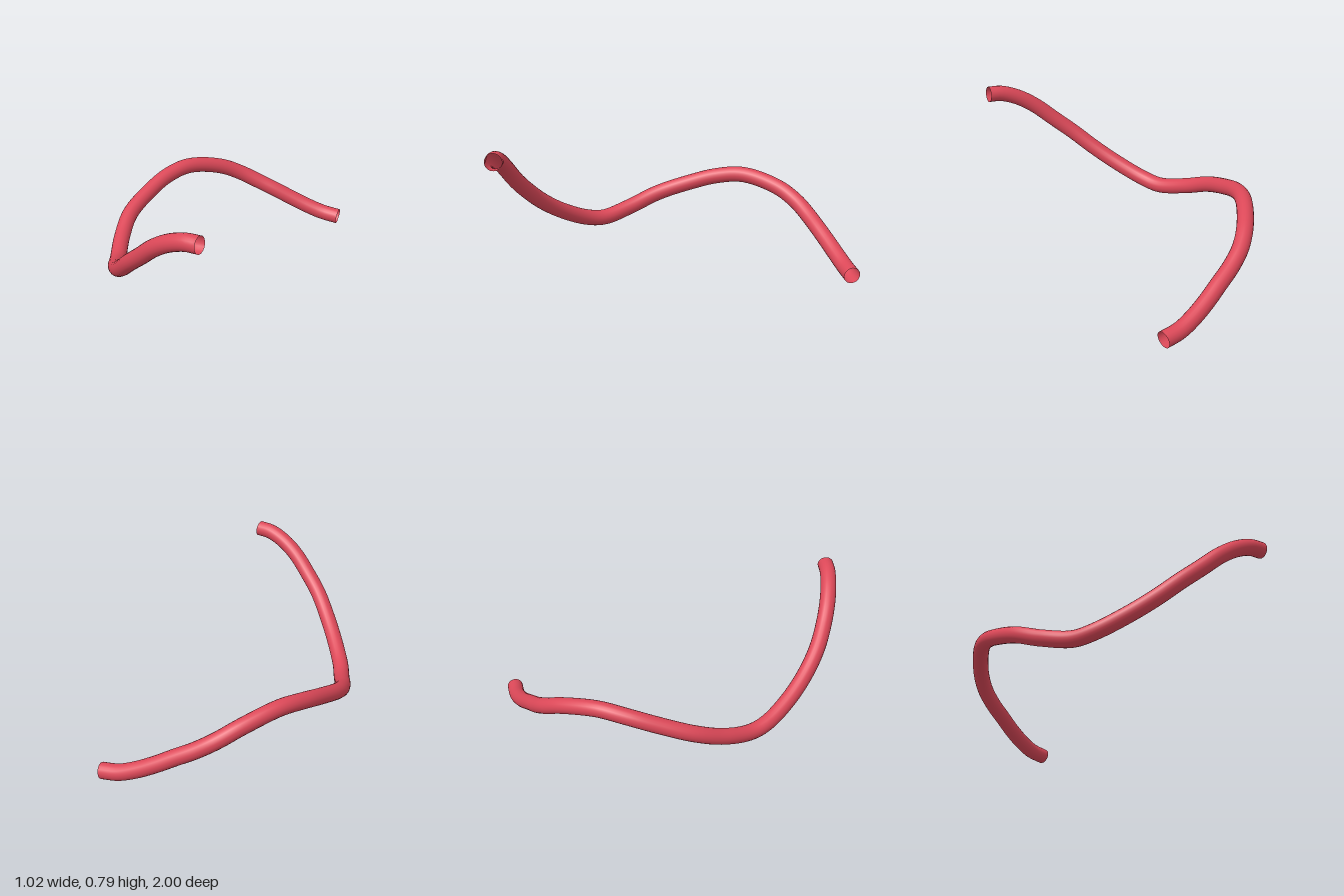
import * as THREE from 'three';

export function createModel() {
  const group = new THREE.Group();

  // Centre line of the bent tube, from the raised front end to the low back end
  const path = new THREE.CatmullRomCurve3([
    [0.48, 0.745, 0.953], [0.4, 0.738, 0.945], [0.3, 0.70, 0.925],
    [0.2, 0.635, 0.895], [0.1, 0.545, 0.85], [0, 0.455, 0.79],
    [-0.1, 0.355, 0.70], [-0.2, 0.265, 0.585], [-0.3, 0.19, 0.44],
    [-0.35, 0.172, 0.335], [-0.42, 0.213, 0.17], [-0.46, 0.28, 0],
    [-0.44, 0.347, -0.2], [-0.4, 0.393, -0.36], [-0.33, 0.412, -0.51],
    [-0.2, 0.364, -0.69], [-0.1, 0.303, -0.78], [0, 0.245, -0.83],
    [0.1, 0.195, -0.865], [0.2, 0.143, -0.898], [0.3, 0.097, -0.925],
    [0.4, 0.063, -0.945], [0.503, 0.05, -0.954],
  ].map((p) => new THREE.Vector3(...p)));

  // Open-ended hose, visible from inside as well
  const hose = new THREE.Mesh(
    new THREE.TubeGeometry(path, 120, 0.046, 20, false),
    new THREE.MeshStandardMaterial({ color: 0xdc4858, side: THREE.DoubleSide })
  );
  hose.name = 'hose';
  group.add(hose);

  return group;
}
